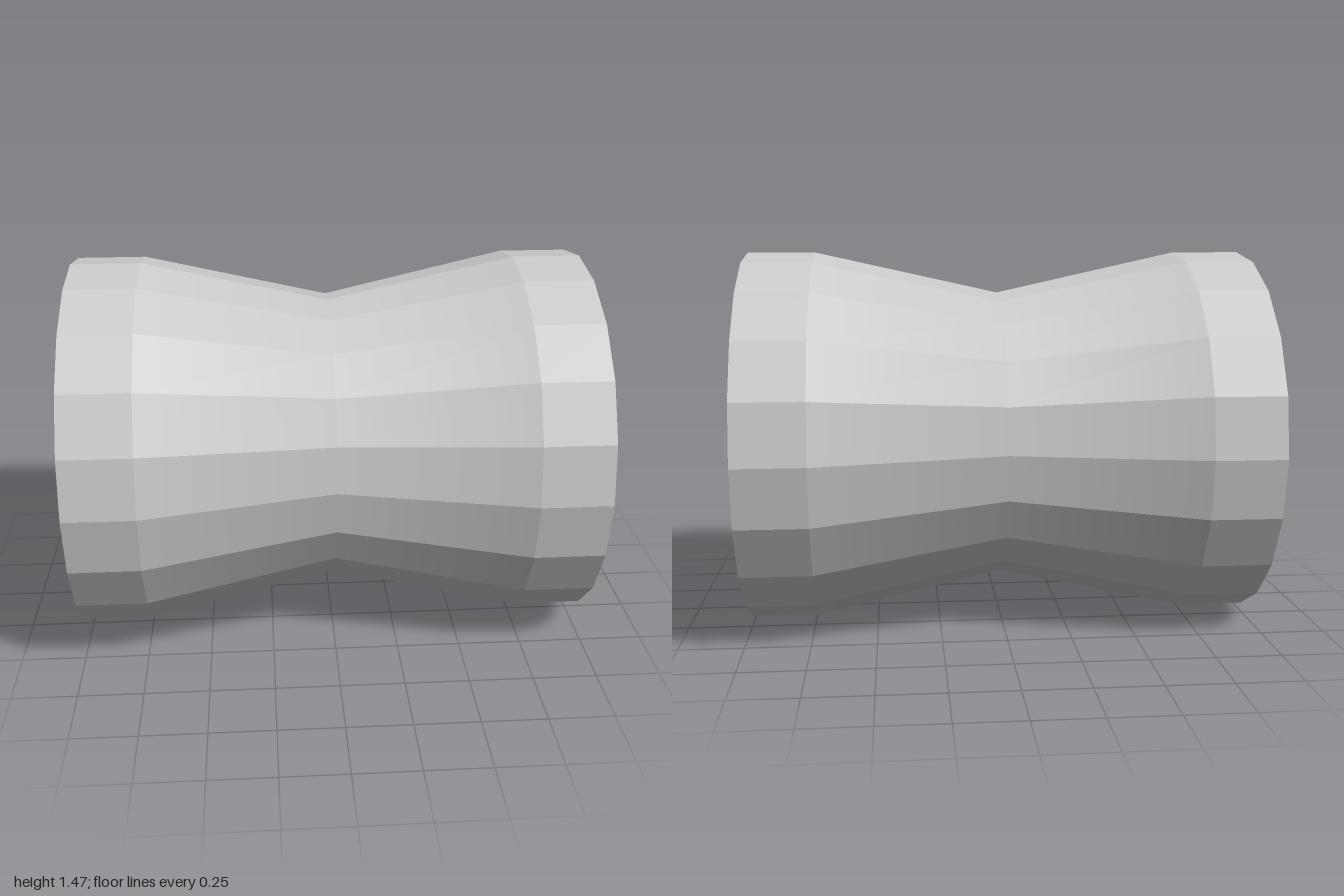
import * as THREE from 'three';

const SIDES = 20;
const R = 0.737;       // end radius
const WAIST = 0.575;   // radius at the middle
const HOLE = 0.516;    // recess radius
const FLOOR = 0.9;     // distance of recess floor from the middle
const SHOULDER = 0.73; // where the straight end bands begin

export function createModel() {
  const group = new THREE.Group();
  group.name = 'waistedDrum';
  const material = new THREE.MeshStandardMaterial({ color: 0xcccccc });

  // Faceted shell: recess wall, rim, end band and waist, mirrored to the other end
  const half = [[HOLE, FLOOR], [HOLE, 1], [R, 1], [R, SHOULDER]];
  const profile = [
    ...half.map(([r, a]) => new THREE.Vector2(r, -a)),
    new THREE.Vector2(WAIST, 0),
    ...half.map(([r, a]) => new THREE.Vector2(r, a)).reverse(),
  ];
  const shellGeo = new THREE.LatheGeometry(profile, SIDES).toNonIndexed();
  shellGeo.computeVertexNormals();

  // Blend the shading across the waist while keeping the lengthwise facets crisp
  const pos = shellGeo.attributes.position;
  const nor = shellGeo.attributes.normal;
  const n = new THREE.Vector3();
  for (let i = 0; i < pos.count; i++) {
    if (Math.abs(pos.getY(i)) > 0.01) continue;
    n.fromBufferAttribute(nor, i).setY(0).normalize();
    nor.setXYZ(i, n.x, n.y, n.z);
  }
  shellGeo.rotateZ(-Math.PI / 2);
  const shell = new THREE.Mesh(shellGeo, material);
  shell.name = 'shell';
  shell.position.y = R;
  group.add(shell);

  // Flat plates set into both ends
  for (const side of [1, -1]) {
    const plateGeo = new THREE.CircleGeometry(HOLE, SIDES).rotateY(side * Math.PI / 2);
    const plate = new THREE.Mesh(plateGeo, material);
    plate.name = side > 0 ? 'leftEndPlate' : 'rightEndPlate';
    plate.position.set(side * FLOOR, R, 0);
    group.add(plate);
  }
  return group;
}
